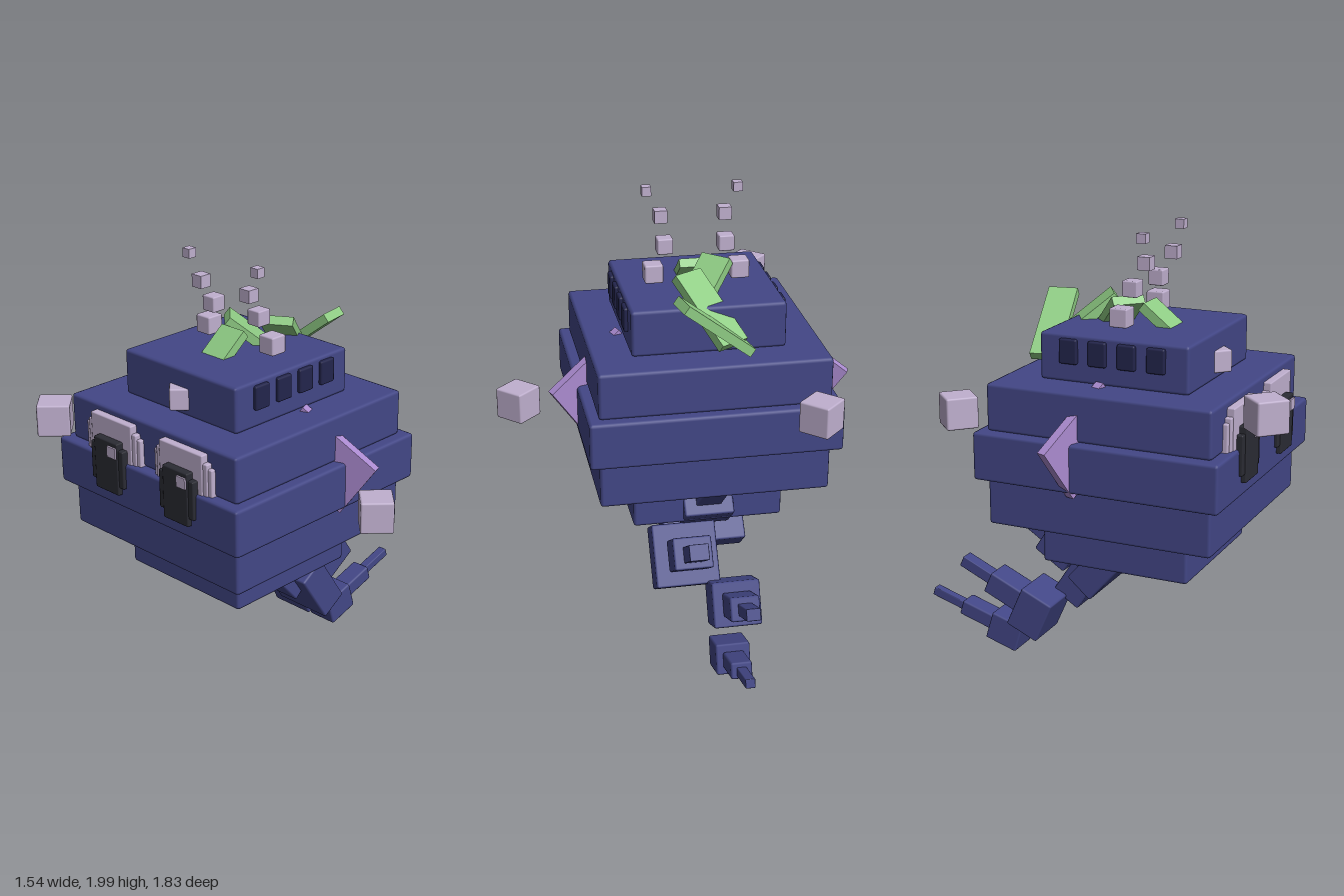
import * as THREE from 'three';
import { RoundedBoxGeometry } from 'three/addons/geometries/RoundedBoxGeometry.js';

const mat = (name, color) => {
  const m = new THREE.MeshStandardMaterial({ color });
  m.name = name;
  return m;
};

export function createModel() {
  const model = new THREE.Group();
  model.name = 'blockCreature';
  const navy = mat('navy skin', 0x434787);
  const darkNavy = mat('dark navy', 0x23254c);
  const lilac = mat('pale lilac', 0xc0b0cf);
  const black = mat('pupil black', 0x2b2c34);
  const purple = mat('fin purple', 0xab8bd0);
  const green = mat('leaf green', 0x8fcc84);
  const CX = -0.11, CZ = 0.145; // body axis
  const rad = THREE.MathUtils.degToRad;

  // box with optional chamfer; rotation in degrees
  function box(name, material, size, pos, bevel = 0, rot = [0, 0, 0], parent = model) {
    const geo = bevel
      ? new RoundedBoxGeometry(...size, 1, bevel)
      : new THREE.BoxGeometry(...size);
    const mesh = new THREE.Mesh(geo, material);
    mesh.name = name;
    mesh.position.set(...pos);
    mesh.rotation.set(...rot.map(rad));
    parent.add(mesh);
    return mesh;
  }
  function group(name) {
    const g = new THREE.Group();
    g.name = name;
    model.add(g);
    return g;
  }

  // stacked body layers: width, bottom, top
  const body = group('body');
  [
    [0.66, 0.585, 0.787],
    [0.99, 0.785, 0.987],
    [1.08, 0.985, 1.192],
    [0.99, 1.19, 1.392],
    [0.66, 1.39, 1.59],
  ].forEach(([w, y0, y1], i) =>
    box('bodyLayer' + (i + 1), navy, [w, y1 - y0, w], [CX, (y0 + y1) / 2, CZ], 0.014, [0, 0, 0], body));

  for (const s of [-1, 1]) {
    const side = s > 0 ? 'left' : 'right';

    // vents along the sides of the top layer
    for (let i = 0; i < 4; i++)
      box(side + 'Vent', darkNavy, [0.04, 0.105, 0.08],
        [CX + s * 0.327, 1.52, 0.335 - i * 0.129], 0.008);

    // stepped eye with pupil and highlight
    const eye = group(side + 'Eye');
    const ex = CX + s * 0.21;
    const plate = (name, m, w, y0, y1, z, dx = 0) =>
      box(name, m, [w, y1 - y0, 0.07], [ex + dx, (y0 + y1) / 2, z - 0.035], 0.006, [0, 0, 0], eye);
    plate('eyeWhiteWide', lilac, 0.335, 1.06, 1.31, 0.66);
    plate('eyeWhiteMiddle', lilac, 0.295, 1.03, 1.33, 0.667);
    plate('eyeWhiteTall', lilac, 0.25, 1.01, 1.365, 0.673);
    plate('pupilWide', black, 0.2, 1.08, 1.25, 0.7);
    plate('pupilTall', black, 0.145, 1.045, 1.28, 0.706);
    box('eyeHighlight', lilac, [0.05, 0.048, 0.02], [ex + 0.042, 1.237, 0.704], 0, [0, 0, 0], eye);

    // tilted side fin
    box(side + 'Fin', purple, [0.4, 0.27, 0.042], [CX + s * 0.43, 1.185, 0.065], 0, [0, s * 20, -s * 35]);

    // bubbles rising from the top: offset, y, z, size
    [
      [0.187, 1.65, 0.118, 0.08, 0.007],
      [0.133, 1.76, 0.142, 0.068, 0.006],
      [0.14, 1.87, 0.205, 0.055, 0],
      [0.198, 1.98, 0.215, 0.04, 0],
    ].forEach(([dx, y, z, d, b]) => box(side + 'Bubble', lilac, [d, d, d], [CX + s * dx, y, z], b));
  }

  // floating cubes turned by an eighth
  [
    [-0.495, 1.375, 0.82, 0.137],
    [0.673, 1.085, 0.135, 0.137],
    [-0.505, 1.23, -0.54, 0.137],
    [CX, 1.465, 0.465, 0.095],
  ].forEach(([x, y, z, d]) => box('floatingCube', lilac, [d, d, d], [x, y, z], 0.008, [0, 45, 0]));

  // slanted leaves: centre, heading of the raised end, width
  [
    [CX, 1.555, 0.295, 90, 0.13],
    [-0.1, 1.585, 0, -134, 0.14],
    [-0.115, 1.57, -0.155, -58.6, 0.14],
    [CX, 1.545, -0.285, 10, 0.13],
  ].forEach(([x, y, z, yaw, w]) => box('leaf', green, [0.37, 0.04, w], [x, y, z], 0, [0, yaw, 38]));

  // tail: each segment is a block with two thinner spines; [width, height, length, y, z]
  [
    [CX, 41, [0.365, 0.365, 0.14, 0.553, 0.024], [0.22, 0.18, 0.17, 0.655, -0.114], [0.11, 0.095, 0.17, 0.766, -0.24]],
    [-0.007, 33, [0.285, 0.28, 0.14, 0.405, -0.156], [0.17, 0.14, 0.17, 0.495, -0.305], [0.085, 0.07, 0.17, 0.575, -0.44]],
    [-0.197, 24, [0.215, 0.2, 0.16, 0.25, -0.337], [0.13, 0.105, 0.17, 0.32, -0.49], [0.062, 0.052, 0.17, 0.385, -0.64]],
    [-0.143, 17, [0.15, 0.135, 0.16, 0.1, -0.514], [0.092, 0.072, 0.17, 0.146, -0.67], [0.042, 0.04, 0.17, 0.19, -0.83]],
  ].forEach(([x, tilt, ...blocks], i) => {
    const segment = group('tailSegment' + (i + 1));
    blocks.forEach(([w, h, l, y, z], j) =>
      box(['tailBlock', 'spineBase', 'spineTip'][j], navy, [w, h, l], [x, y, z],
        j < 2 ? 0.009 : 0.004, [tilt, 0, 0], segment));
  });

  return model;
}
